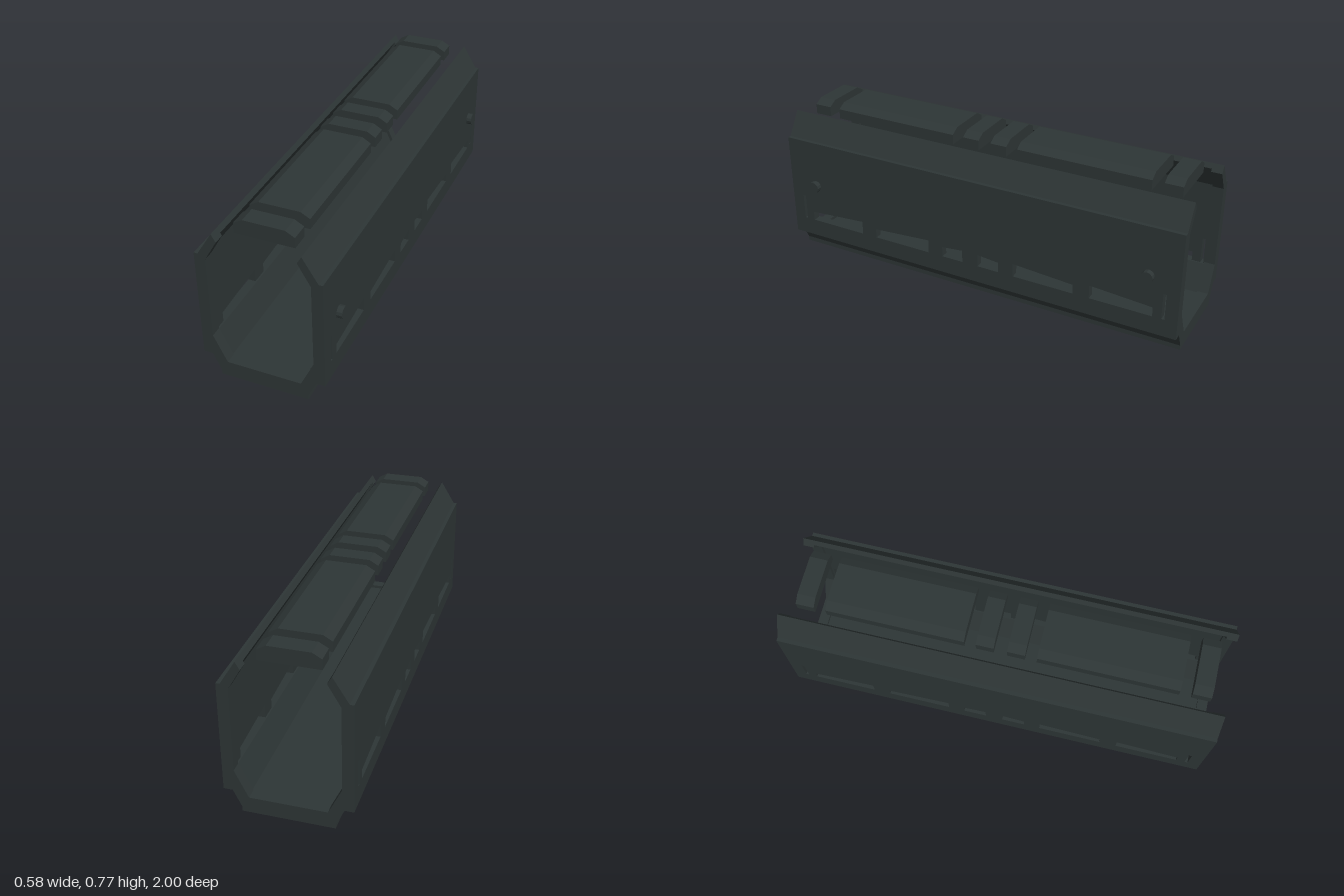
import * as THREE from 'three';

const gunmetal = new THREE.MeshStandardMaterial({ color: 0x2d3535 });
gunmetal.name = 'dark gunmetal';

const CENTRE = -0.0125; // the shell sits slightly off centre because of the pins

function shapeOf(points) {
  return new THREE.Shape(points.map(([x, y]) => new THREE.Vector2(x, y)));
}

// Extrude a front profile between two z positions
function extrudeZ(points, z0, z1) {
  const g = new THREE.ExtrudeGeometry(shapeOf(points), { depth: z1 - z0, bevelEnabled: false });
  return g.translate(0, 0, z0);
}

// Right half followed by its mirror image, closing the outline
function mirrored(half) {
  return [...half, ...half.map(([x, y]) => [-x, y]).reverse()];
}

export function createModel() {
  const model = new THREE.Group();
  model.name = 'handguard';
  const shell = new THREE.Group();
  shell.name = 'shell';
  shell.position.x = CENTRE;
  model.add(shell);

  const add = (parent, name, geometry) => {
    const mesh = new THREE.Mesh(geometry, gunmetal);
    mesh.name = name;
    parent.add(mesh);
    return mesh;
  };

  // Thick rims at both ends
  const rim = mirrored([
    [0.2, 0], [0.2, 0.022], [0.2375, 0.1], [0.2775, 0.1], [0.2775, 0.61], [0.26, 0.61],
    [0.192, 0.72], [0.172, 0.686], [0.2275, 0.59], [0.2275, 0.2], [0.168, 0.075],
  ]);
  add(shell, 'frontRim', extrudeZ(rim, 0.95, 1));
  add(shell, 'backRim', extrudeZ(rim, -1, -0.95));

  // Thinner trough between the rims
  const trough = mirrored([
    [0.2, 0], [0.2, 0.022], [0.2375, 0.1], [0.2775, 0.1], [0.2775, 0.185],
    [0.2355, 0.185], [0.18, 0.06],
  ]);
  add(shell, 'trough', extrudeZ(trough, -0.95, 0.95));

  // Side walls, notched along the lower edge by the vents: [z0, z1, top0, top1]
  const half = [
    [0.04, 0.147, 0.245, 0.235], [0.222, 0.517, 0.25, 0.23],
    [0.595, 0.887, 0.25, 0.23], [0.928, 0.942, 0.31, 0.31],
  ];
  const vents = [...half.map(([a, b, p, q]) => [-b, -a, q, p]).reverse(), ...half];
  const wall = [[-0.95, 0.59], [-0.95, 0.185]];
  for (const [a, b, p, q] of vents) wall.push([a, 0.185], [a, p], [b, q], [b, 0.185]);
  wall.push([0.95, 0.185], [0.95, 0.59]);

  const lip = [[0.2425, 0.59], [0.2775, 0.59], [0.2775, 0.61], [0.26, 0.61], [0.192, 0.72], [0.179, 0.698]];

  for (const [side, s] of [['left', 1], ['right', -1]]) {
    const g = new THREE.ExtrudeGeometry(shapeOf(wall), { depth: 0.035, bevelEnabled: false });
    g.rotateY(Math.PI / 2).translate(s > 0 ? 0.2425 : -0.2775, 0, 0);
    add(shell, side + 'Wall', g);
    add(shell, side + 'Lip', extrudeZ(lip.map(([x, y]) => [s * x, y]), -0.95, 0.95));
  }

  // Segmented top rail
  const rail = mirrored([[0.1325, 0.696], [0.1325, 0.743], [0.092, 0.766]]);
  for (const [a, b] of [[0.03, 0.11], [0.163, 0.792], [0.845, 0.928]]) {
    add(shell, 'frontRailSegment', extrudeZ(rail, a, b));
    add(shell, 'backRailSegment', extrudeZ(rail, -b, -a));
  }

  // Faceted pins on the left wall
  for (const z of [-0.856, 0.856]) {
    const pin = new THREE.CylinderGeometry(0.028, 0.028, 0.034, 12).toNonIndexed();
    pin.computeVertexNormals();
    pin.rotateZ(Math.PI / 2).translate(0.273, 0.381, z);
    add(model, z > 0 ? 'frontPin' : 'backPin', pin);
  }
  return model;
}
